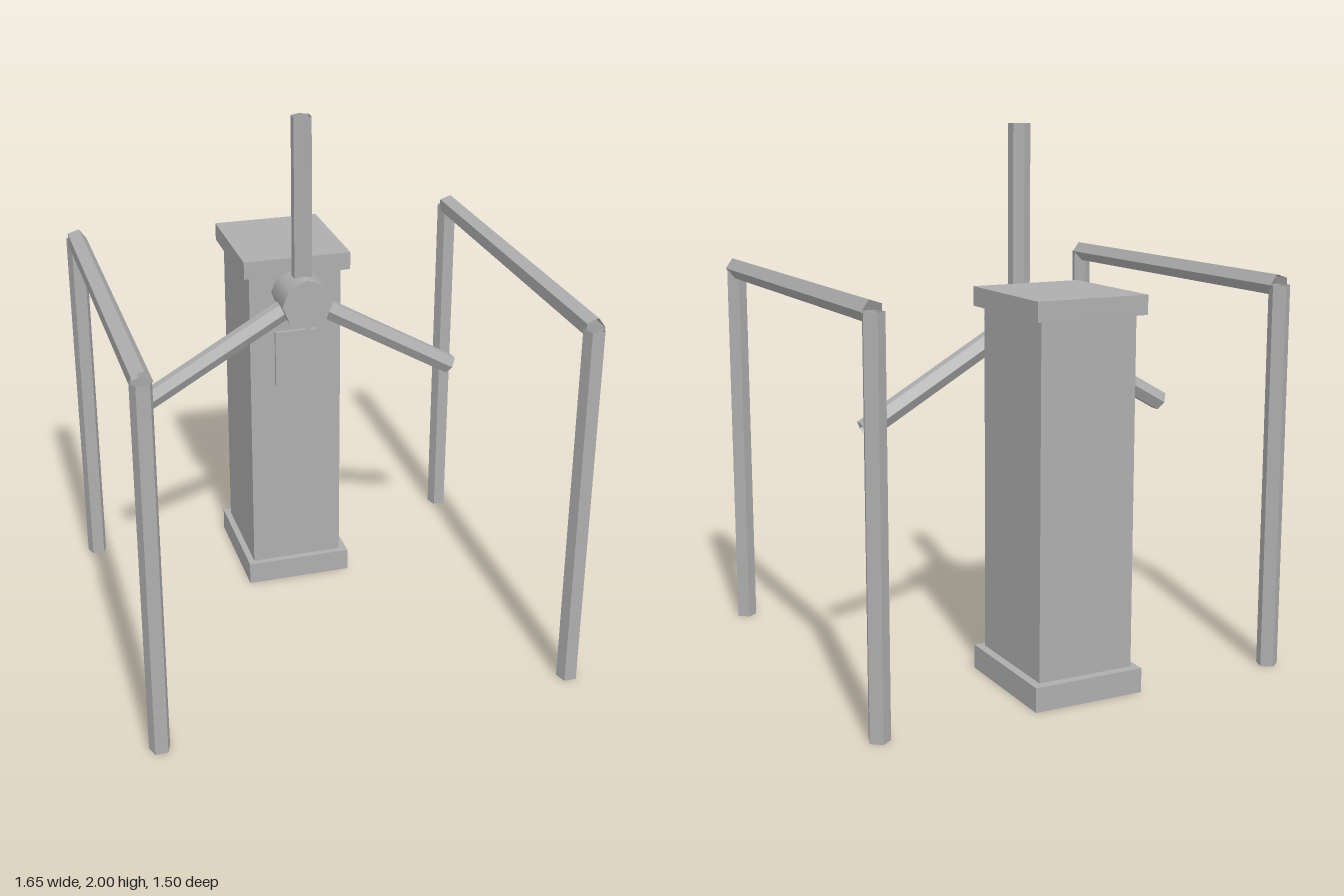
import * as THREE from 'three';

export function createModel() {
  const model = new THREE.Group();
  model.name = 'turbineTower';
  const grey = new THREE.MeshStandardMaterial({ color: 0xaeaeae, side: THREE.DoubleSide });
  grey.name = 'grey';

  function add(parent, name, geometry, x = 0, y = 0, z = 0) {
    const mesh = new THREE.Mesh(geometry, grey);
    mesh.name = name;
    mesh.position.set(x, y, z);
    parent.add(mesh);
    return mesh;
  }

  // Open, faceted bar standing along y; spin turns its first corner away from +z
  function bar(radius, length, sides, spin) {
    const g = new THREE.CylinderGeometry(radius, radius, length, sides, 1, true)
      .rotateY(spin).toNonIndexed();
    g.computeVertexNormals();
    return g;
  }

  // Tower: base slab, shaft, cap slab and front panel
  const tower = new THREE.Group();
  tower.name = 'tower';
  model.add(tower);
  add(tower, 'base', new THREE.BoxGeometry(0.426, 0.09, 0.485), 0, 0.045, -0.497);
  add(tower, 'shaft', new THREE.BoxGeometry(0.37, 1.29, 0.425), -0.003, 0.725, -0.493);
  add(tower, 'cap', new THREE.BoxGeometry(0.426, 0.07, 0.485), 0, 1.395, -0.497);
  add(tower, 'panel', new THREE.BoxGeometry(0.17, 0.23, 0.03), -0.003, 1.005, -0.282);

  // Rotor: smooth eight-sided hub with three six-sided blades
  const rotor = new THREE.Group();
  rotor.name = 'rotor';
  rotor.position.set(0, 1.288, -0.195);
  model.add(rotor);
  add(rotor, 'hub', new THREE.CylinderGeometry(0.1, 0.1, 0.17, 8).rotateX(Math.PI / 2));
  for (let i = 0; i < 3; i++) {
    const blade = bar(0.04, 0.652, 6, 0).translate(0, 0.386, 0);
    add(rotor, 'blade' + (i + 1), blade).rotation.z = (i * 2 * Math.PI) / 3;
  }

  // Side frames: two five-sided posts joined by a rail
  for (const side of [-1, 1]) {
    const frame = new THREE.Group();
    frame.name = side > 0 ? 'leftFrame' : 'rightFrame';
    frame.position.x = side * 0.786;
    model.add(frame);
    add(frame, 'frontPost', bar(0.04, 1.43, 5, Math.PI), 0, 0.715, 0.717);
    add(frame, 'rearPost', bar(0.04, 1.43, 5, Math.PI), 0, 0.715, -0.71);
    const rail = bar(0.04, 1.427, 5, Math.PI / 2).rotateX(Math.PI / 2);
    add(frame, 'rail', rail, 0, 1.43, 0.0035);
  }
  return model;
}
